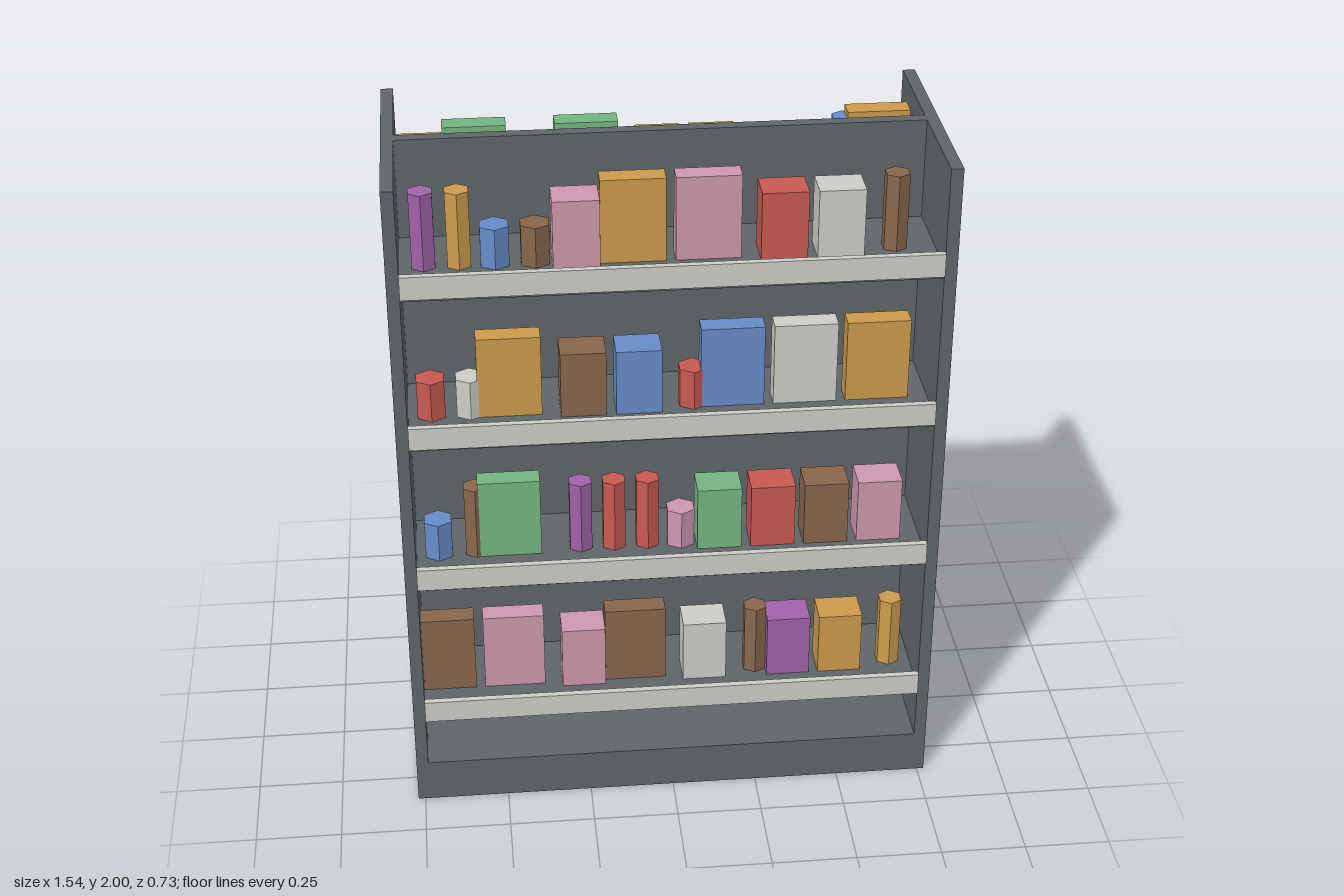
import * as THREE from 'three';

const mat = (name, color) => {
  const m = new THREE.MeshStandardMaterial({ color });
  m.name = name;
  return m;
};

const frameMat = mat('charcoal', 0x606568);
// Product colours, keyed by the letter used in the shelf rows
const colors = {
  W: mat('light grey', 0xcdcec9),
  R: mat('red', 0xc85a52),
  O: mat('orange', 0xcc9c4c),
  G: mat('green', 0x75b581),
  B: mat('blue', 0x678cc8),
  P: mat('pink', 0xcd99ae),
  U: mat('purple', 0xa062a8),
  N: mat('brown', 0x89674d),
};

// Product kinds: geometry, height and distance to the next product
const kinds = {
  t: { name: 'tallBox', h: 0.245, step: 0.206, geo: new THREE.BoxGeometry(0.18, 0.245, 0.063) },
  b: { name: 'box', h: 0.197, step: 0.156, geo: new THREE.BoxGeometry(0.129, 0.197, 0.103) },
  c: { name: 'can', h: 0.118, step: 0.11, geo: new THREE.CylinderGeometry(0.045, 0.045, 0.118, 6).toNonIndexed() },
  f: { name: 'bottle', h: 0.223, step: 0.097, geo: new THREE.CylinderGeometry(0.037, 0.037, 0.223, 6).toNonIndexed() },
};
kinds.c.geo.computeVertexNormals();
kinds.f.geo.computeVertexNormals();

// Rows run from -x to +x, listed from the top shelf down: kind then colour
const frontRows = [
  'fU fO cB cN bP tO tP bR bW fN',
  'cR cW tO bN bB cR tB tW tO',
  'cB fN tG fU fR fR cP bG bR bN bP',
  'tN tP bP tN bW fN bU bO fO',
];
const backRows = [
  'bO tG cO tG bO bO cW cW fB tO',
  'cN fO tP bN bP tW cN bN fW cP',
  'tP tG cB cN fN bO cW fR fO fP bU',
  'bB cB fW fP bB fR fP tW cO tU tR',
];

const HALF_W = 0.771, INNER = 0.736, HALF_D = 0.354, BASE = 0.133;
const shelfBottoms = [1.672, 1.208, 0.743, 0.278];
const SHELF_T = 0.035;

function addBox(parent, name, material, x0, x1, y0, y1, z0, z1) {
  const mesh = new THREE.Mesh(new THREE.BoxGeometry(x1 - x0, y1 - y0, z1 - z0), material);
  mesh.position.set((x0 + x1) / 2, (y0 + y1) / 2, (z0 + z1) / 2);
  mesh.name = name;
  parent.add(mesh);
}

// Products lined up along one shelf
function addRow(parent, row, y, z) {
  let x = -0.67;
  for (const item of row.split(' ')) {
    const kind = kinds[item[0]];
    const mesh = new THREE.Mesh(kind.geo, colors[item[1]]);
    mesh.position.set(x, y + kind.h / 2, z);
    mesh.name = kind.name;
    parent.add(mesh);
    x += kind.step;
  }
}

export function createModel() {
  const model = new THREE.Group();
  model.name = 'doubleSidedShelf';

  // Frame: base, centre panel and two sides
  addBox(model, 'base', frameMat, -INNER, INNER, 0, BASE, -HALF_D, HALF_D);
  addBox(model, 'centrePanel', frameMat, -INNER, INNER, BASE, 2, -0.018, 0.018);
  addBox(model, 'rightSide', frameMat, -HALF_W, -INNER, 0, 2, -HALF_D, HALF_D);
  addBox(model, 'leftSide', frameMat, INNER, HALF_W, 0, 2, -HALF_D, HALF_D);

  // Shelves with edge rails and goods on both faces
  for (const [label, s, rows] of [['front', 1, frontRows], ['back', -1, backRows]]) {
    shelfBottoms.forEach((y, i) => {
      const level = new THREE.Group();
      level.name = label + 'Level' + (i + 1);
      const zs = (a, b) => (s > 0 ? [a, b] : [-b, -a]);
      addBox(level, 'shelf', frameMat, -INNER, INNER, y, y + SHELF_T, ...zs(0.018, 0.343));
      addBox(level, 'shelfRail', colors.W, -INNER, INNER, y + 0.014, y + 0.082, ...zs(0.343, 0.363));
      addRow(level, rows[i], y + SHELF_T, s * 0.2);
      model.add(level);
    });
  }
  return model;
}
